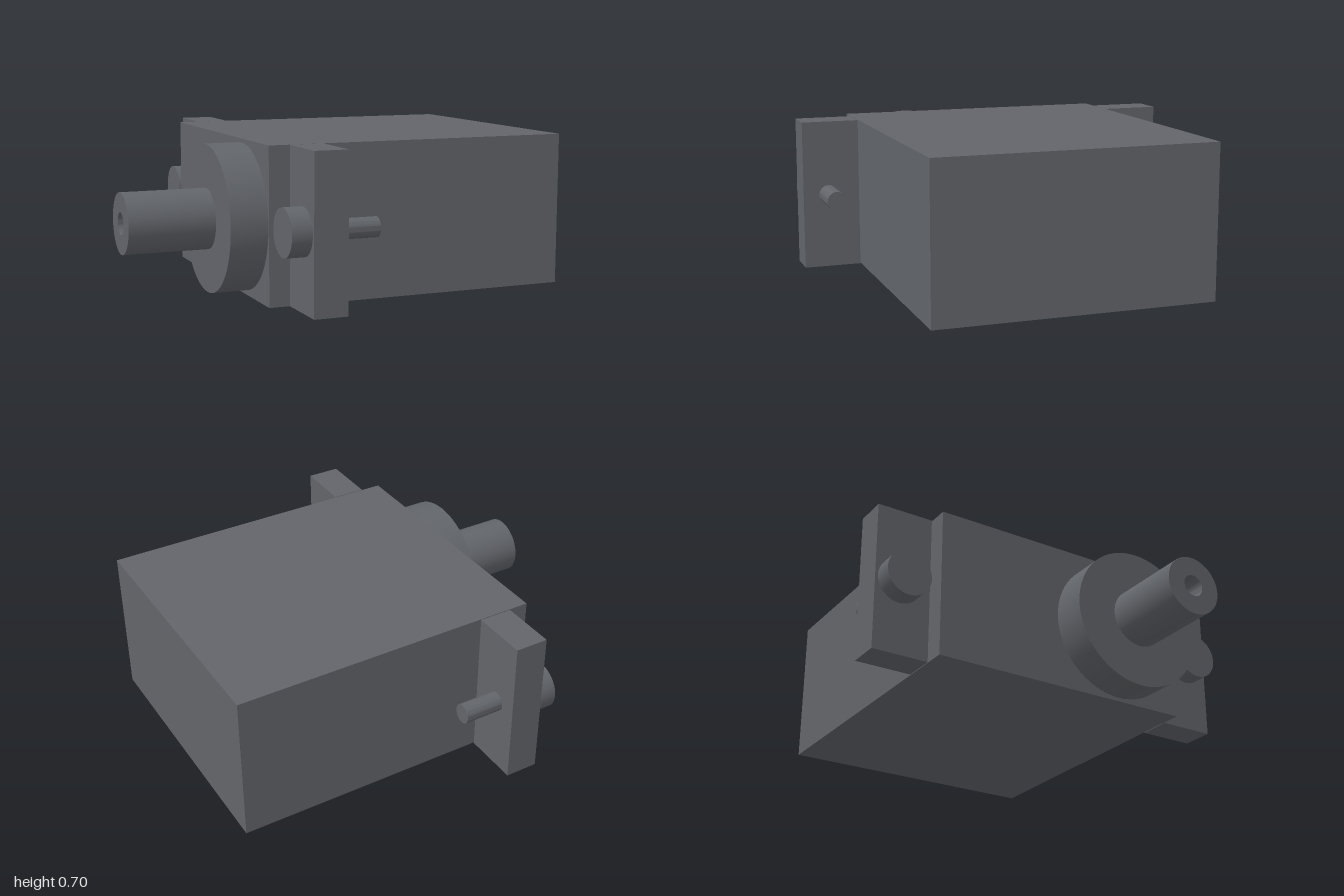
import * as THREE from 'three';
import { toCreasedNormals } from 'three/addons/utils/BufferGeometryUtils.js';

const H = 0.702;          // case height
const MID = H / 2;        // height of every round part's axis

export function createModel() {
  const group = new THREE.Group();
  const material = new THREE.MeshStandardMaterial({ color: 0x62656a });

  const add = (name, geometry, x, y, z) => {
    const mesh = new THREE.Mesh(geometry, material);
    mesh.name = name;
    mesh.position.set(x, y, z);
    group.add(mesh);
  };

  // box between two x values
  const box = (name, x0, x1, depth, z) =>
    add(name, new THREE.BoxGeometry(x1 - x0, H, depth), (x0 + x1) / 2, MID, z);

  // turned part: [radius, distance] profile running from x towards -x
  const turned = (name, profile, x, z) => {
    const points = profile.map(([r, d]) => new THREE.Vector2(r, d));
    const geometry = new THREE.LatheGeometry(points, 64).rotateZ(Math.PI / 2);
    add(name, toCreasedNormals(geometry, 0.6), x, MID, z);
  };
  const rod = (name, r, x0, x1, z) =>
    turned(name, [[0, 0], [r, 0], [r, x1 - x0], [0, x1 - x0]], x1, z);

  // main case
  box('case', -0.44, 1, 1.287, 0);

  // round boss and output shaft with a bored end
  const shaftZ = 0.304;
  rod('outputBoss', 0.333, -0.61, -0.44, shaftZ);
  turned('outputShaft', [
    [0, 0], [0.137, 0], [0.137, 0.39], [0.05, 0.39], [0.05, 0.02], [0, 0.02],
  ], -0.61, shaftZ);

  // mounting ears, a hair's breadth off the case, each with a screw through it
  for (const [side, s] of [['front', 1], ['back', -1]]) {
    box(side + 'MountingEar', -0.345, -0.19, 0.269, s * 0.7815);
    rod(side + 'ScrewHead', 0.107, -0.437, -0.345, s * 0.795);
    rod(side + 'ScrewShank', 0.045, -0.345, -0.005, s * 0.795);
  }

  return group;
}
